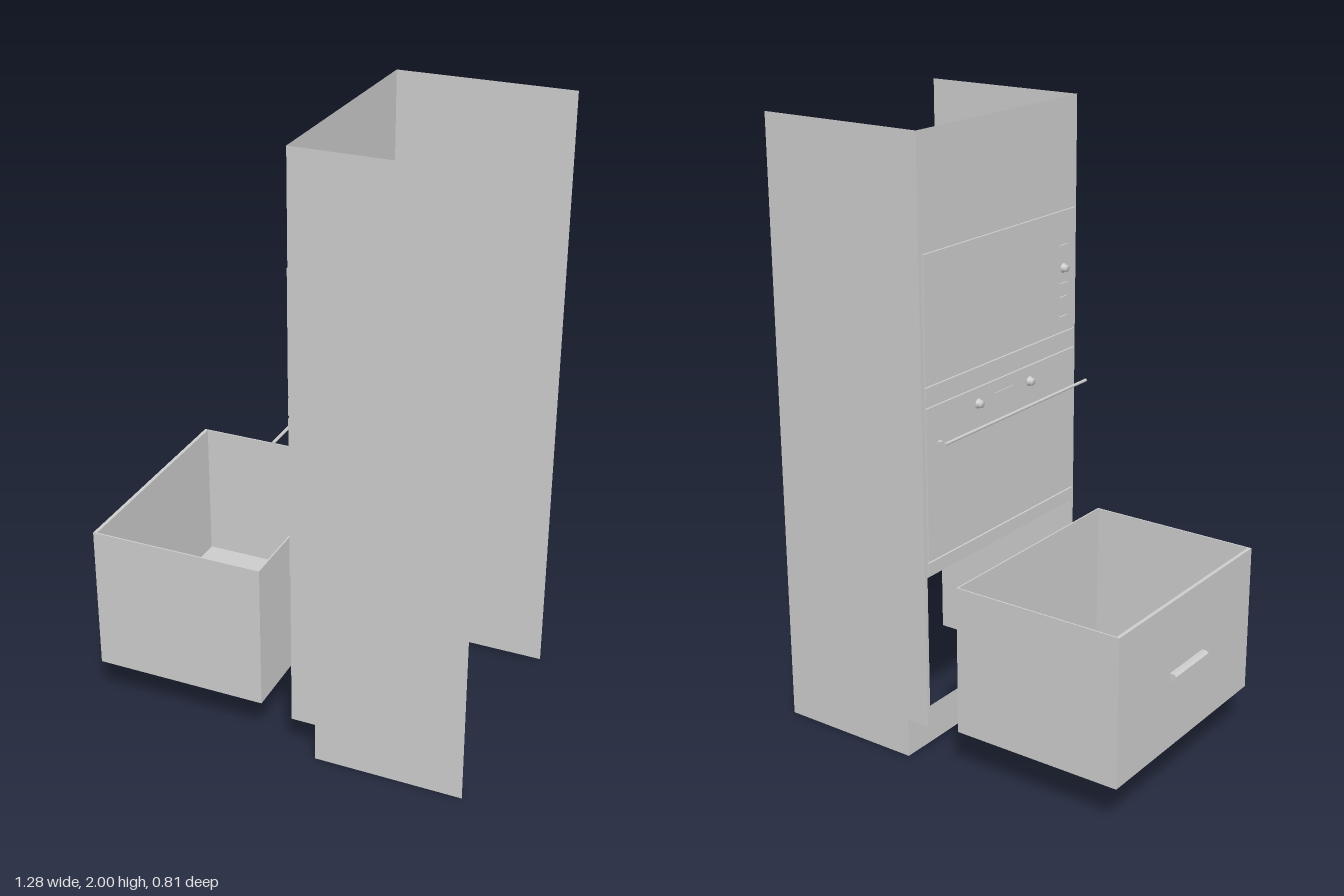
import * as THREE from 'three';

const solid = new THREE.MeshStandardMaterial({ color: 0xcccccc });
const sheet = new THREE.MeshStandardMaterial({ color: 0xcccccc, side: THREE.DoubleSide });

export function createModel() {
  const model = new THREE.Group();

  const add = (name, geometry, material = solid, parent = model) => {
    const mesh = new THREE.Mesh(geometry, material);
    mesh.name = name;
    parent.add(mesh);
    return mesh;
  };
  // Box given by its lower and upper limits on each axis
  const box = (name, [x0, x1], [y0, y1], [z0, z1], parent = model) => {
    const mesh = add(name, new THREE.BoxGeometry(x1 - x0, y1 - y0, z1 - z0), solid, parent);
    mesh.position.set((x0 + x1) / 2, (y0 + y1) / 2, (z0 + z1) / 2);
    return mesh;
  };
  const polygon = (points) => new THREE.Shape(points.map(([a, b]) => new THREE.Vector2(a, b)));
  const rectangle = (a0, b0, a1, b1) => [[a0, b0], [a1, b0], [a1, b1], [a0, b1]];

  // Thin cabinet sides with a toe notch
  const sideShape = polygon([[0.15, 0], [0.64, 0], [0.64, 2], [0.07, 2], [0.07, 0.13], [0.15, 0.13]]);
  for (const z of [-0.403, 0.403]) {
    add('cabinetSide', new THREE.ShapeGeometry(sideShape), sheet).position.z = z;
  }

  // Cabinet front with the drawer opening
  const frontShape = polygon(rectangle(-0.403, 0.13, 0.403, 2));
  frontShape.holes.push(polygon(rectangle(-0.39, 0.14, 0.39, 0.637)));
  const front = add('cabinetFront', new THREE.ShapeGeometry(frontShape), sheet);
  front.rotation.y = -Math.PI / 2;
  front.position.x = 0.07;

  // Recessed toe kick
  const kick = add('toeKick', new THREE.PlaneGeometry(0.806, 0.13), sheet);
  kick.rotation.y = -Math.PI / 2;
  kick.position.set(0.15, 0.065, 0);

  // Pulled-out drawer, open at the top
  const drawer = new THREE.Group();
  drawer.name = 'drawer';
  model.add(drawer);
  const height = [0.145, 0.635];
  box('drawerFront', [-0.622, -0.61], height, [-0.393, 0.387], drawer);
  box('drawerBack', [-0.047, -0.042], height, [-0.393, 0.387], drawer);
  box('drawerSide', [-0.61, -0.047], height, [-0.393, -0.388], drawer);
  box('drawerSide', [-0.61, -0.047], height, [0.382, 0.387], drawer);
  box('drawerBottom', [-0.61, -0.047], [0.15, 0.158], [-0.388, 0.382], drawer);

  // Drawer pull
  const pullShape = polygon([[0, -0.011], [0.014, -0.011], [0.023, -0.005], [0.023, 0.005], [0.014, 0.011], [0, 0.011]]);
  const pull = add('drawerHandle', new THREE.ExtrudeGeometry(pullShape, { depth: 0.195, bevelEnabled: false }), solid, drawer);
  pull.rotation.y = Math.PI;
  pull.position.set(-0.622, 0.39, 0.092);

  // Appliance fronts: doors and the trims beneath them
  const width = [-0.39, 0.39];
  box('microwaveDoor', [0.062, 0.069], [1.25, 1.645], width);
  box('microwaveTrim', [0.062, 0.069], [1.19, 1.245], width);
  box('ovenDoor', [0.062, 0.069], [0.692, 1.18], width);
  box('ovenTrim', [0.062, 0.069], [0.65, 0.687], width);

  // Dials with a wider base, facing -x
  const dial = (name, y, z) => {
    const profile = [[0, 0], [0.016, 0], [0.016, 0.004], [0.013, 0.006], [0.011, 0.018], [0, 0.018]];
    const geometry = new THREE.LatheGeometry(profile.map(([r, h]) => new THREE.Vector2(r, h)), 20);
    const mesh = add(name, geometry, sheet);
    mesh.rotation.z = Math.PI / 2;
    mesh.position.set(0.063, y, z);
  };
  dial('ovenDial', 1.13, -0.137);
  dial('ovenDial', 1.13, 0.133);
  dial('microwaveDial', 1.46, 0.32);

  // Displays and push buttons
  box('ovenDisplay', [0.059, 0.063], [1.12, 1.14], [-0.05, 0.045]);
  for (const y of [1.53, 1.405, 1.36, 1.295]) {
    box('microwaveButton', [0.057, 0.063], [y - 0.007, y + 0.007], [0.3, 0.34]);
  }

  // Oven handle bar and its mount
  const bar = add('ovenHandle', new THREE.CylinderGeometry(0.005, 0.005, 0.75, 12));
  bar.rotation.x = Math.PI / 2;
  bar.position.set(0.005, 1.08, -0.002);
  box('ovenHandleMount', [0.021, 0.035], [1.076, 1.084], [-0.377, -0.363]);

  return model;
}
